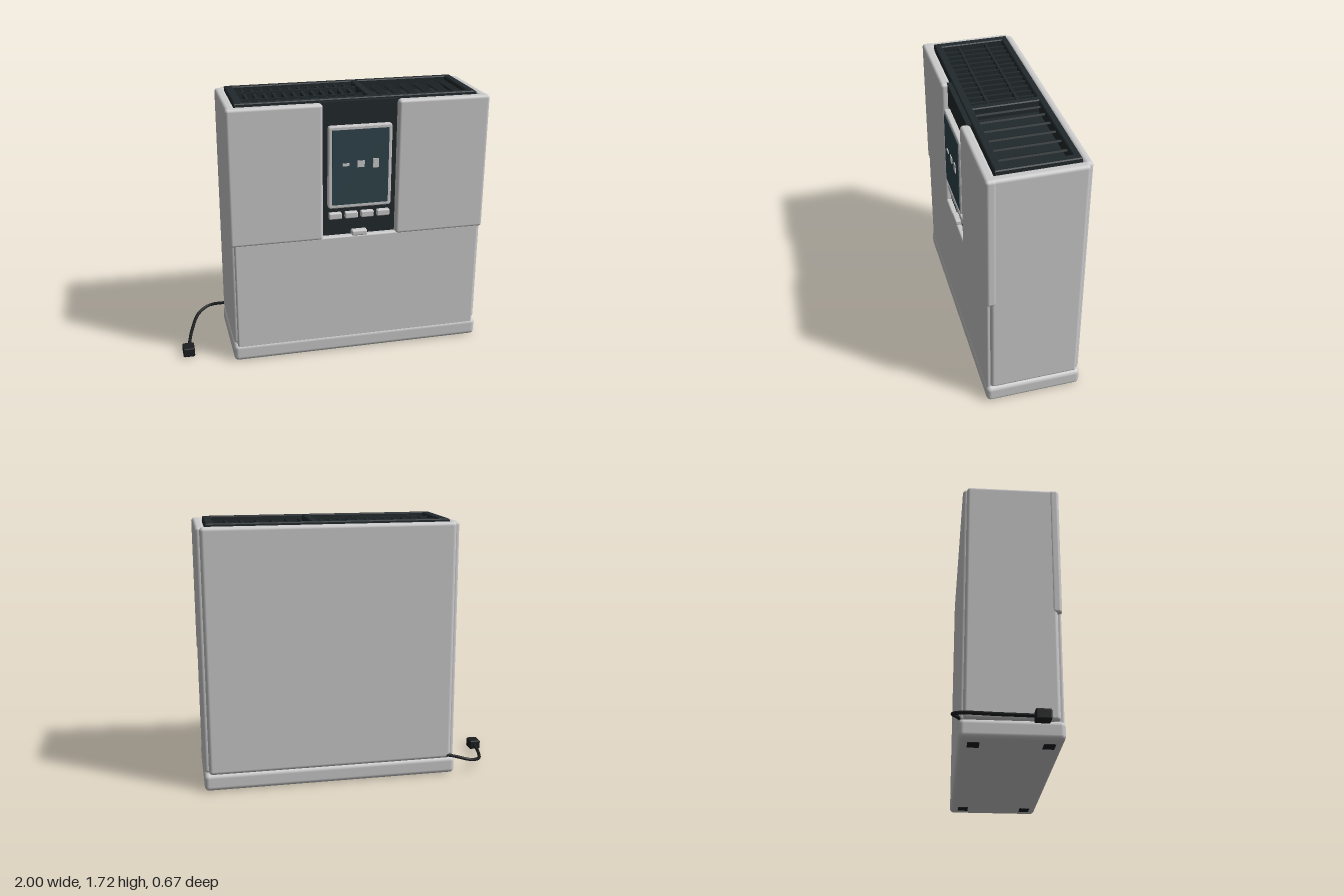
import * as THREE from 'three';
import { RoundedBoxGeometry } from 'three/addons/geometries/RoundedBoxGeometry.js';

const material = (color) => new THREE.MeshStandardMaterial({ color });
const grey = material(0xcccccc);
const dark = material(0x22292c);
const glass = material(0x2f444c);
const black = material(0x1b1d1f);

export function createModel() {
  const model = new THREE.Group();

  const add = (name, geometry, mat, parent = model) => {
    const mesh = new THREE.Mesh(geometry, mat);
    mesh.name = name;
    parent.add(mesh);
    return mesh;
  };
  // Box given by its limits on each axis; r > 0 rounds the edges.
  const block = (name, [x0, x1], [y0, y1], [z0, z1], r = 0, mat = grey, parent = model) => {
    const size = [x1 - x0, y1 - y0, z1 - z0];
    const geometry = r ? new RoundedBoxGeometry(...size, 3, r) : new THREE.BoxGeometry(...size);
    const mesh = add(name, geometry, mat, parent);
    mesh.position.set((x0 + x1) / 2, (y0 + y1) / 2, (z0 + z1) / 2);
    return mesh;
  };
  const group = (name) => {
    const g = new THREE.Group();
    g.name = name;
    model.add(g);
    return g;
  };

  // Body shell: separate rounded panels around a core
  block('core', [-0.64, 0.965], [0.08, 1.62], [-0.26, 0.27]);
  block('base', [-0.675, 0.997], [0.003, 0.118], [-0.29, 0.325], 0.03);
  block('rightSidePanel', [-0.672, -0.61], [0.12, 1.70], [-0.265, 0.298], 0.022);
  block('leftSidePanel', [0.932, 0.994], [0.12, 1.70], [-0.265, 0.298], 0.022);
  block('backPanel', [-0.645, 0.967], [0.11, 1.70], [-0.29, -0.235], 0.025);
  block('lowerFrontPanel', [-0.65, 0.972], [0.095, 0.828], [0.25, 0.32], 0.012);
  block('upperRightPanel', [-0.675, -0.08], [0.812, 1.70], [0.262, 0.325], 0.02);
  block('upperLeftPanel', [0.40, 0.997], [0.812, 1.70], [0.262, 0.325], 0.02);

  // Control column with display, buttons and latch
  block('controlPanel', [-0.1, 0.42], [0.82, 1.703], [0.24, 0.285], 0, dark);
  const frame = new THREE.Shape();
  const hw = 0.197, hh = 0.26, c = 0.012;
  frame.moveTo(-hw + c, -hh);
  [[hw, -hh, hw, -hh + c], [hw, hh, hw - c, hh], [-hw, hh, -hw, hh - c], [-hw, -hh, -hw + c, -hh]]
    .forEach(([cx, cy, x, y], i) => {
      const before = [[hw - c, -hh], [hw, hh - c], [-hw + c, hh], [-hw, -hh + c]][i];
      frame.lineTo(...before);
      frame.quadraticCurveTo(cx, cy, x, y);
    });
  frame.holes.push(rectangle(-0.183, 0.183, -0.245, 0.245, THREE.Path));
  const frameMesh = add('displayFrame', new THREE.ExtrudeGeometry(frame, {
    depth: 0.025, bevelThickness: 0.008, bevelSize: 0.008, bevelOffset: 0, bevelSegments: 2, curveSegments: 4,
  }), grey);
  frameMesh.position.set(0.158, 1.288, 0.289);
  block('displayScreen', [-0.024, 0.34], [1.045, 1.533], [0.28, 0.326], 0, glass);
  const icons = group('displayIcons');
  [[0.063, 0.042, 0.018], [0.16, 0.046, 0.042], [0.257, 0.038, 0.06]].forEach(([x, w, h]) =>
    block('icon', [x - w / 2, x + w / 2], [1.31 - h / 2, 1.31 + h / 2], [0.32, 0.331], 0, grey, icons));
  const buttons = group('buttons');
  for (let i = 0; i < 4; i++) {
    const x = 0.003 + i * 0.105;
    block('button', [x - 0.042, x + 0.042], [0.943, 0.985], [0.275, 0.315], 0.008, grey, buttons);
  }
  block('latch', [0.11, 0.211], [0.824, 0.86], [0.275, 0.325], 0.01);

  // Top grille: frame with two openings over a sunken floor
  const grille = group('topGrille');
  const lid = rectangle(-0.605, 0.922, -0.25, 0.23);
  lid.holes.push(rectangle(-0.562, 0.232, -0.215, 0.2, THREE.Path));
  lid.holes.push(rectangle(0.268, 0.885, -0.215, 0.2, THREE.Path));
  const lidMesh = add('grilleFrame', new THREE.ExtrudeGeometry(lid, {
    depth: 0.085, bevelThickness: 0.006, bevelSize: 0.006, bevelSegments: 1,
  }), dark, grille);
  lidMesh.rotation.x = -Math.PI / 2;
  lidMesh.position.y = 1.624;
  block('grilleSkirt', [-0.63, 0.95], [1.6, 1.635], [-0.255, 0.275], 0, dark, grille);
  for (let i = 1; i < 13; i++) {
    const x = -0.565 + i * 0.0615;
    block('intakeSlat', [x - 0.009, x + 0.009], [1.625, 1.695], [-0.205, 0.22], 0, dark, grille);
  }
  for (const z of [-0.08, 0.102])
    block('crossBar', [-0.567, 0.236], [1.66, 1.703], [z - 0.008, z + 0.008], 0, dark, grille);
  for (let i = 0; i < 7; i++) {
    const x = 0.275 + i * 0.1;
    const slat = block('outletSlat', [x - 0.02, x + 0.02], [1.67, 1.682], [-0.205, 0.22], 0, dark, grille);
    slat.position.x = Math.min(Math.max(x, 0.288), 0.868);
    slat.rotation.z = 0.5;
  }

  // Feet
  const feet = group('feet');
  for (const x of [-0.55, 0.86])
    for (const z of [-0.2, 0.24])
      block('foot', [x - 0.045, x + 0.045], [0, 0.02], [z - 0.035, z + 0.035], 0, black, feet);

  // Power cord and plug
  const path = new THREE.CatmullRomCurve3([
    [-0.58, 0.135, -0.265], [-0.66, 0.128, -0.295], [-0.77, 0.105, -0.325], [-0.85, 0.083, -0.265],
    [-0.915, 0.055, -0.09], [-0.96, 0.035, 0.13],
  ].map((p) => new THREE.Vector3(...p)));
  add('powerCord', new THREE.TubeGeometry(path, 40, 0.011, 8), black);
  block('plug', [-1.0, -0.923], [0.003, 0.066], [0.11, 0.2], 0.01, black);

  return model;
}

function rectangle(x0, x1, y0, y1, Type = THREE.Shape) {
  return new Type([[x0, y0], [x1, y0], [x1, y1], [x0, y1]].map((p) => new THREE.Vector2(...p)));
}
